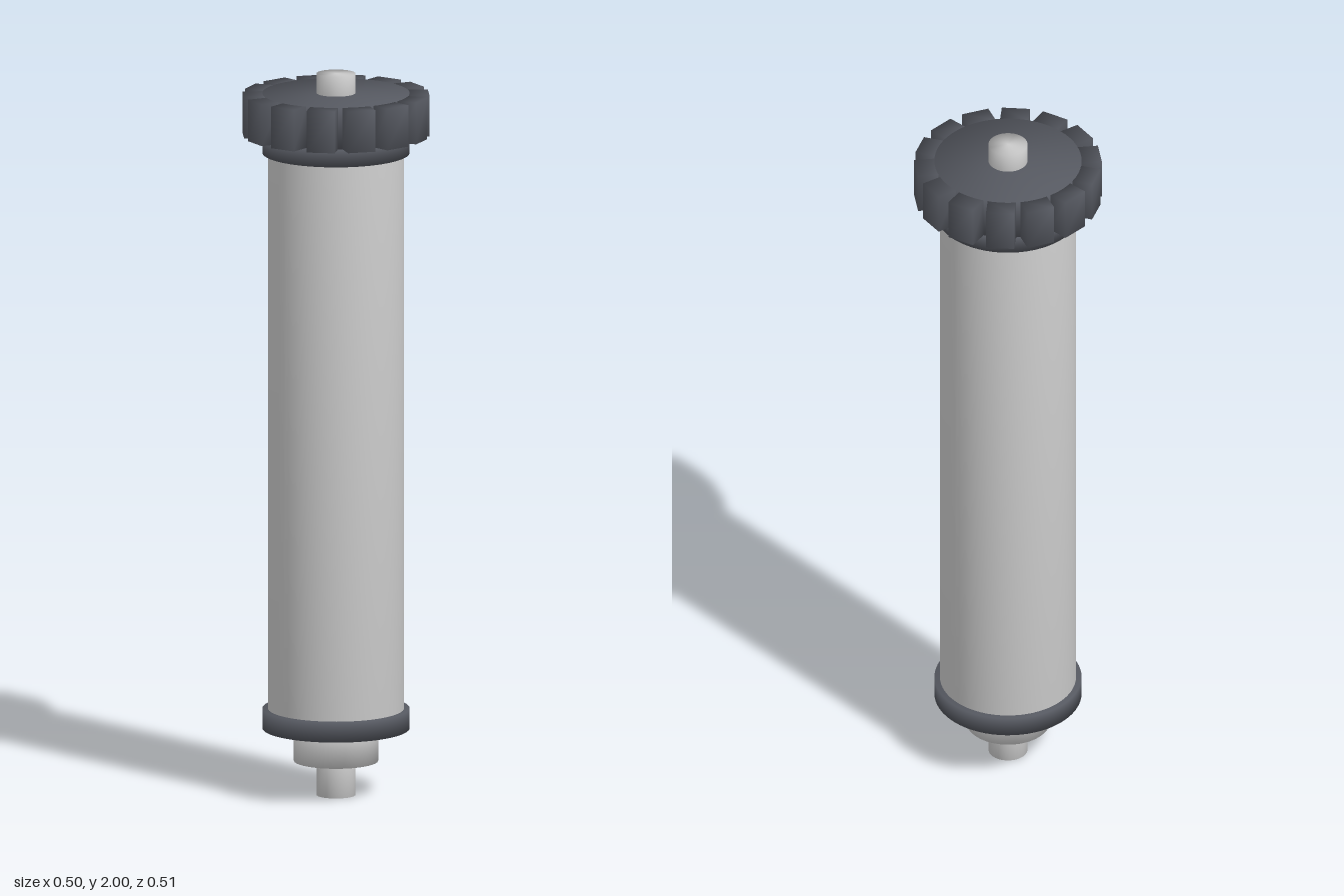
import * as THREE from 'three';
import { mergeVertices } from 'three/addons/utils/BufferGeometryUtils.js';

const grey = new THREE.MeshStandardMaterial({ color: 0xcccccc });
const dark = new THREE.MeshStandardMaterial({ color: 0x555860 });

// Weld the corners so that shading runs smoothly over every edge
function soften(geometry) {
  geometry.deleteAttribute('normal');
  geometry.deleteAttribute('uv');
  const welded = mergeVertices(geometry, 1e-4);
  welded.computeVertexNormals();
  return welded;
}

// Upright cylinder between two heights
function drum(name, radius, bottom, top, material) {
  const geometry = soften(new THREE.CylinderGeometry(radius, radius, top - bottom, 64));
  const mesh = new THREE.Mesh(geometry, material);
  mesh.name = name;
  mesh.position.y = (bottom + top) / 2;
  return mesh;
}

export function createModel() {
  const model = new THREE.Group();
  model.name = 'roller';

  // Shaft, bearing hub and long roller body
  model.add(
    drum('lowerAxle', 0.053, 0, 0.12, grey),
    drum('hub', 0.115, 0.095, 0.2, grey),
    drum('rollerBody', 0.185, 0.186, 1.82, grey),
    drum('upperAxle', 0.053, 1.9, 2, grey)
  );

  // End collars
  model.add(
    drum('lowerCollar', 0.2, 0.185, 0.24, dark),
    drum('upperCollar', 0.2, 1.78, 1.83, dark)
  );

  // Gear wheel with a ring of block teeth
  const gear = new THREE.Group();
  gear.name = 'gear';
  gear.add(drum('gearDisc', 0.2, 1.83, 1.946, dark));
  const toothGeometry = soften(new THREE.BoxGeometry(0.057, 0.115, 0.077));
  const teeth = 14;
  for (let i = 0; i < teeth; i++) {
    const angle = (i / teeth) * Math.PI * 2;
    const tooth = new THREE.Mesh(toothGeometry, dark);
    tooth.name = 'gearTooth';
    tooth.position.set(Math.cos(angle) * 0.2235, 1.8875, -Math.sin(angle) * 0.2235);
    tooth.rotation.y = angle;
    gear.add(tooth);
  }
  model.add(gear);

  return model;
}
